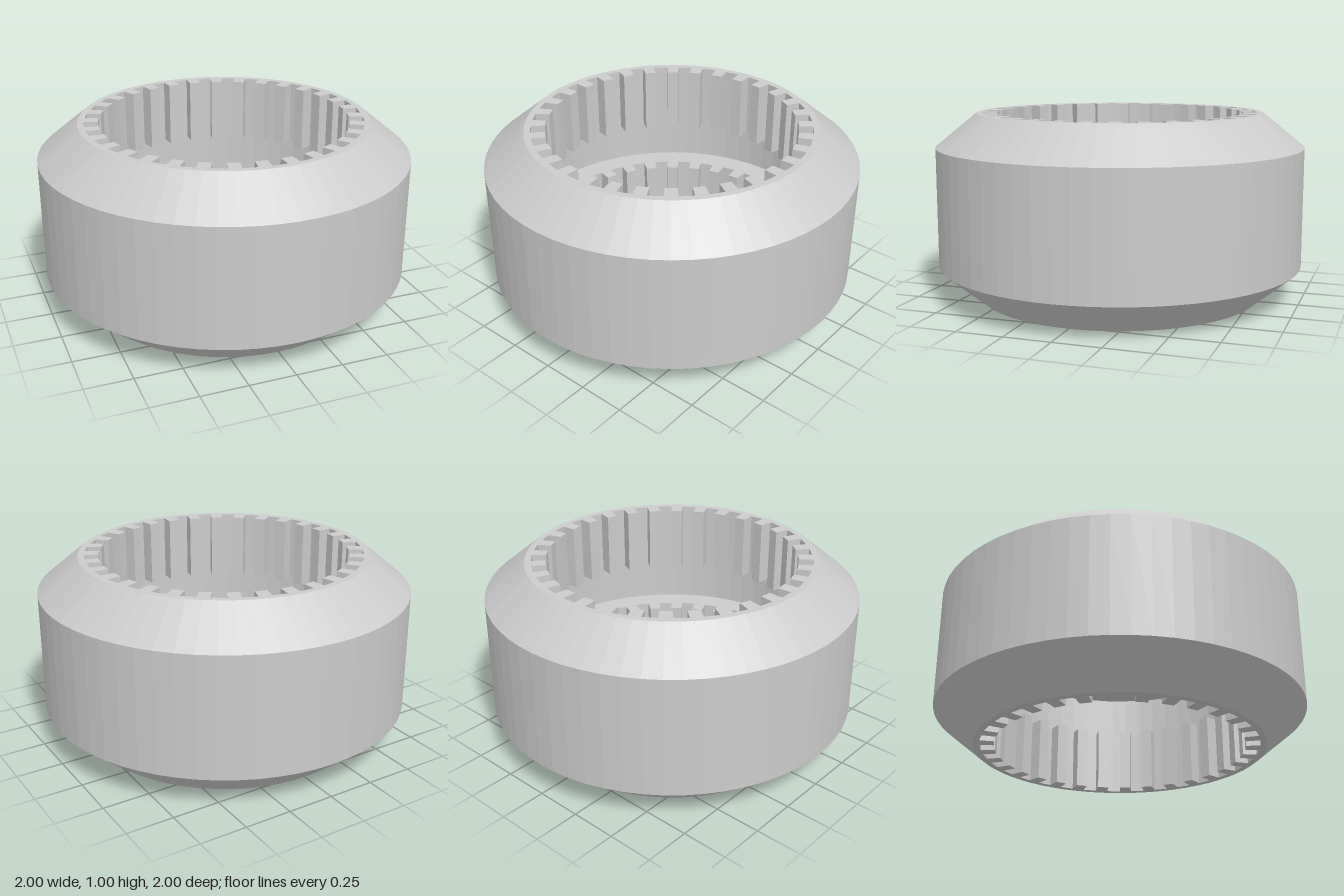
import * as THREE from 'three';

const SEGMENTS = 64, TEETH = 32;
const RIM = 0.78, ROOT = 0.745, TIP = 0.67, GROOVE = 0.87;
const HEIGHT = 1.005, BAND = 0.36; // overall height, height of each toothed band

const material = new THREE.MeshStandardMaterial({ color: 0xcccccc, flatShading: true });

const polar = (r, a) => new THREE.Vector2(r * Math.cos(a), r * Math.sin(a));

function addMesh(group, name, geometry, y = 0) {
  const mesh = new THREE.Mesh(geometry, material);
  mesh.name = name;
  mesh.position.y = y;
  group.add(mesh);
}

function lathe(points) {
  return new THREE.LatheGeometry(points.map(([r, y]) => new THREE.Vector2(r, y)), SEGMENTS);
}

// Flat ring with internal spline teeth, gaps centred on the axes
function splineBand() {
  const outline = [];
  for (let i = 0; i < SEGMENTS; i++) outline.push(polar(RIM, (i / SEGMENTS) * Math.PI * 2));
  const shape = new THREE.Shape(outline);

  const pitch = (Math.PI * 2) / TEETH, half = 0.046;
  const hole = [];
  for (let i = 0; i < TEETH; i++) {
    const a = (i + 0.5) * pitch;
    hole.push(polar(ROOT, a - half), polar(TIP, a - half), polar(TIP, a + half), polar(ROOT, a + half));
    hole.push(polar(ROOT, a + pitch / 2));
  }
  shape.holes.push(new THREE.Path(hole));

  const geometry = new THREE.ExtrudeGeometry(shape, { depth: BAND, bevelEnabled: false });
  return geometry.rotateX(-Math.PI / 2);
}

export function createModel() {
  const group = new THREE.Group();
  group.name = 'splinedSleeve';

  // Outer wall with a chamfer at each end
  addMesh(group, 'outerShell', lathe([[RIM, 0], [1, 0.183], [1, HEIGHT - 0.18], [RIM, HEIGHT]]));

  // Wide groove between the two toothed bands
  const top = HEIGHT - BAND;
  addMesh(group, 'innerGroove', lathe([[RIM, top], [GROOVE, top], [GROOVE, BAND], [RIM, BAND]]));

  // Toothed bands at both ends of the bore
  const band = splineBand();
  addMesh(group, 'lowerSplineBand', band);
  addMesh(group, 'upperSplineBand', band, top);

  return group;
}
